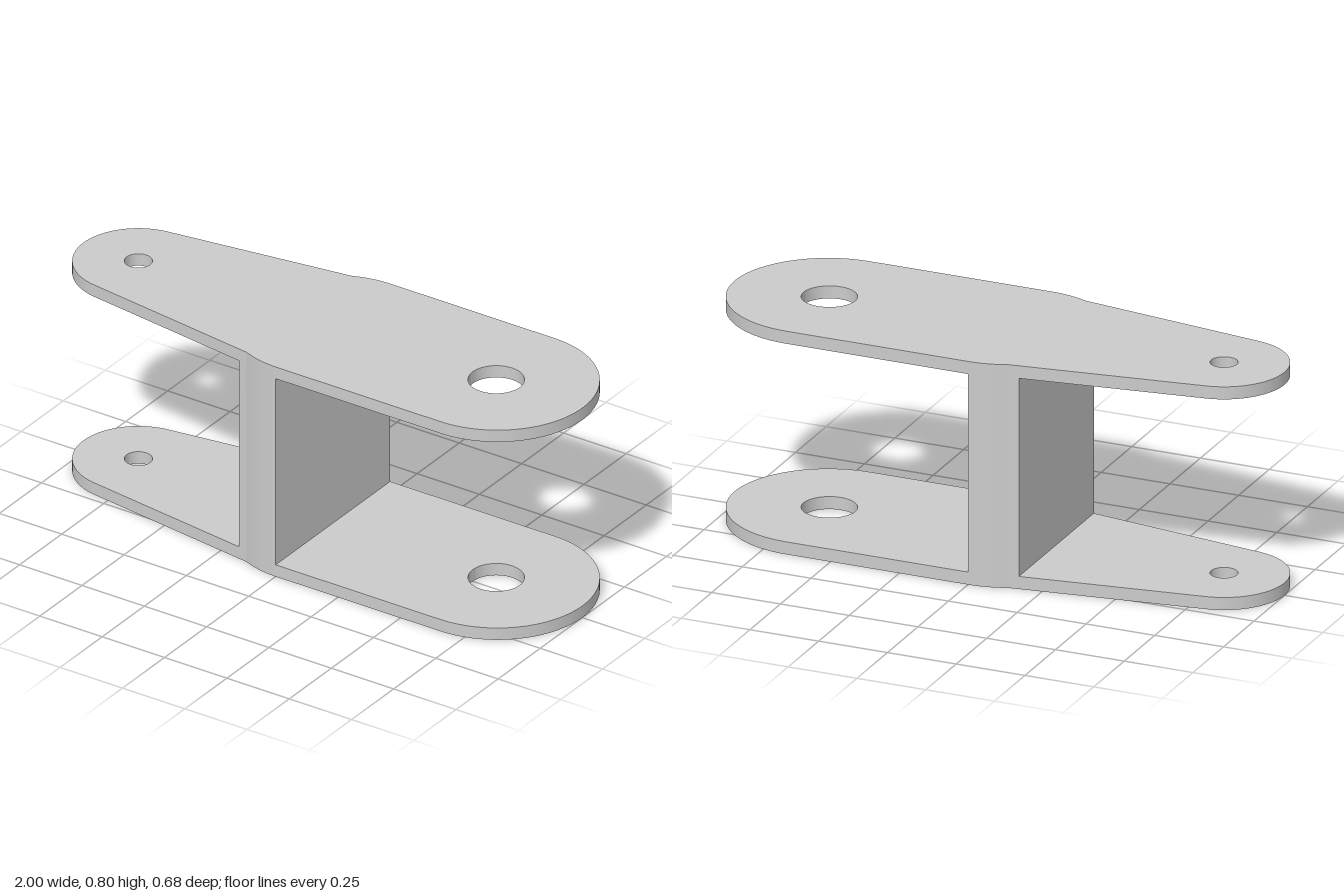
import * as THREE from 'three';
import { toCreasedNormals } from 'three/addons/utils/BufferGeometryUtils.js';

const HEIGHT = 0.8, PLATE = 0.045;
const BIG = { x: 0.66, r: 0.34, hole: 0.094 };
const SMALL = { x: -0.78, r: 0.22, hole: 0.047 };
const KINK = Math.acos(-0.135 / BIG.r);   // where the shoulder arc meets the taper
const TANGENT = Math.PI / 2 + 0.138;      // where the taper leaves the small end
const WEB_BACK = -0.17;

// Extrude a plan outline upwards from height y
function slab(name, shape, y, depth, material) {
  let geo = new THREE.ExtrudeGeometry(shape, { depth, bevelEnabled: false, curveSegments: 32 });
  geo = toCreasedNormals(geo.rotateX(-Math.PI / 2), 0.2);
  const mesh = new THREE.Mesh(geo, material);
  mesh.name = name;
  mesh.position.y = y;
  return mesh;
}

function plateShape() {
  const s = new THREE.Shape();
  s.absarc(BIG.x, 0, BIG.r, -Math.PI / 2, Math.PI / 2);         // large rounded end
  s.absarc(0, 0, BIG.r, Math.PI / 2, KINK);                     // shoulder
  s.absarc(SMALL.x, 0, SMALL.r, TANGENT, 2 * Math.PI - TANGENT); // small rounded end
  s.absarc(0, 0, BIG.r, -KINK, -Math.PI / 2);                   // mirrored shoulder
  s.closePath();
  for (const end of [BIG, SMALL]) {
    s.holes.push(new THREE.Path().absarc(end.x === BIG.x ? 0.655 : end.x, 0, end.hole, 0, Math.PI * 2, true));
  }
  return s;
}

// Web outline follows the plate edge between its two flat faces
function webShape() {
  const s = new THREE.Shape();
  s.moveTo(0, -BIG.r);
  s.lineTo(0, BIG.r);
  s.absarc(0, 0, BIG.r, Math.PI / 2, KINK);
  s.lineTo(WEB_BACK, 0.307);
  s.lineTo(WEB_BACK, -0.307);
  s.absarc(0, 0, BIG.r, -KINK, -Math.PI / 2);
  return s;
}

export function createModel() {
  const group = new THREE.Group();
  group.name = 'linkBracket';
  const material = new THREE.MeshStandardMaterial({ color: 0xcccccc });
  group.add(
    slab('lowerPlate', plateShape(), 0, PLATE, material),
    slab('upperPlate', plateShape(), HEIGHT - PLATE, PLATE, material),
    slab('web', webShape(), PLATE, HEIGHT - 2 * PLATE, material),
  );
  return group;
}
